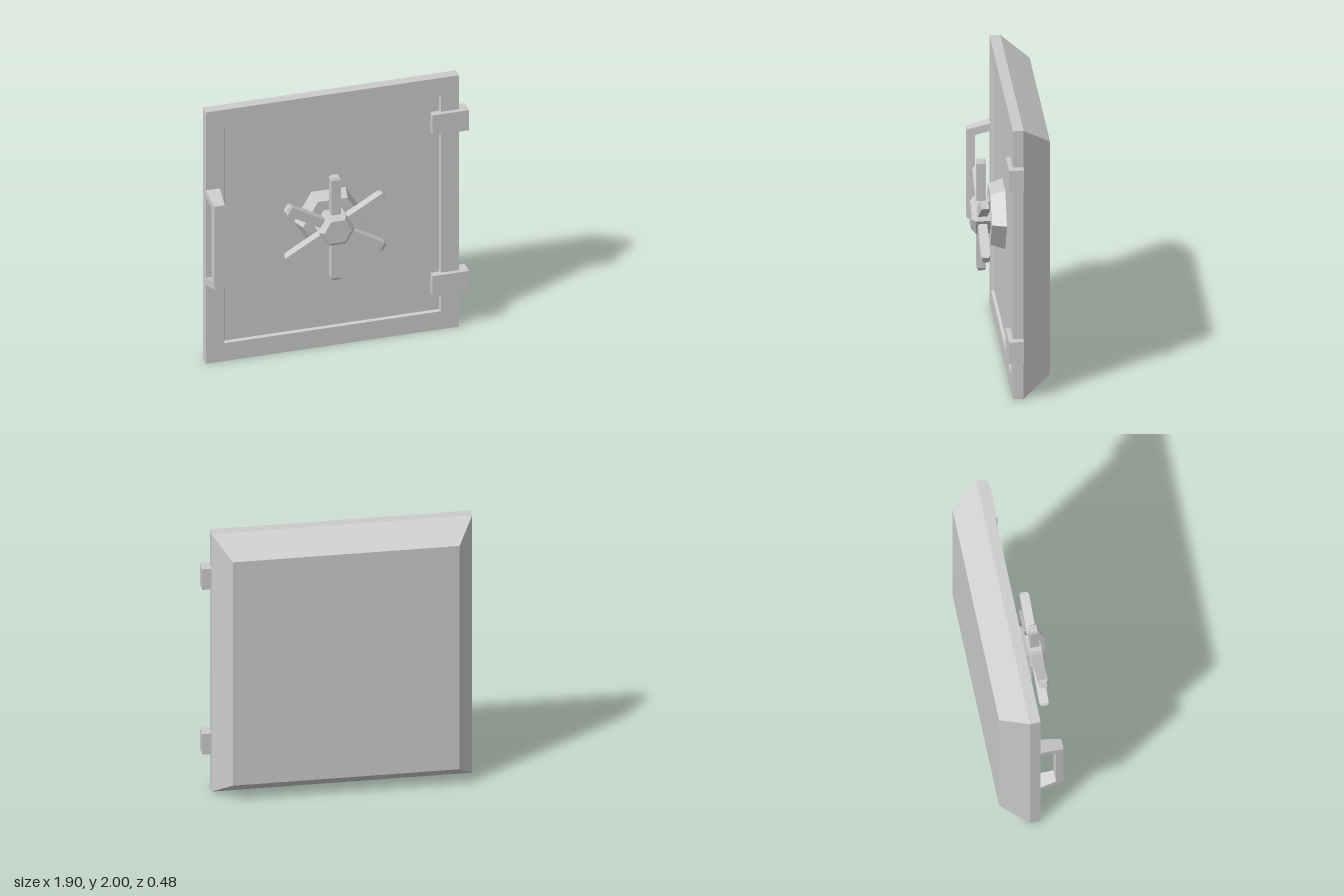
import * as THREE from 'three';

const material = new THREE.MeshStandardMaterial({ color: 0xcccccc, flatShading: true });

function add(parent, name, geometry, x = 0, y = 0, z = 0) {
  const mesh = new THREE.Mesh(geometry, material);
  mesh.name = name;
  mesh.position.set(x, y, z);
  parent.add(mesh);
  return mesh;
}

// Capped loft through rectangles [halfWidth, halfHeight, z], listed along z
function rectLoft(rings) {
  const corners = rings.map(([w, h, z]) => [[-w, -h, z], [w, -h, z], [w, h, z], [-w, h, z]]);
  const points = [];
  const quad = (a, b, c, d) => points.push(...a, ...b, ...c, ...a, ...c, ...d);
  const first = corners[0];
  quad(first[3], first[2], first[1], first[0]);
  for (let r = 0; r < corners.length - 1; r++) {
    const a = corners[r], b = corners[r + 1];
    for (let i = 0; i < 4; i++) {
      const j = (i + 1) % 4;
      quad(a[i], a[j], b[j], b[i]);
    }
  }
  quad(...corners[corners.length - 1]);
  const geometry = new THREE.BufferGeometry();
  geometry.setAttribute('position', new THREE.Float32BufferAttribute(points, 3));
  geometry.computeVertexNormals();
  return geometry;
}

// Six-sided prism along z, with points to the left and right
function hexPrism(backRadius, frontRadius, z0, z1) {
  return new THREE.CylinderGeometry(frontRadius, backRadius, z1 - z0, 6)
    .rotateY(Math.PI / 6).rotateX(Math.PI / 2).translate(0, 0, (z0 + z1) / 2);
}

// Bracket outline in the side plane, narrowing in width towards the grip
function handleGeometry() {
  const outline = [
    [0.02, 0.378], [0.195, 0.33], [0.195, -0.33], [0.02, -0.378],
    [0.02, -0.323], [0.14, -0.288], [0.14, 0.288], [0.02, 0.323],
  ];
  const shape = new THREE.Shape(outline.map(([z, y]) => new THREE.Vector2(z, y)));
  const geometry = new THREE.ExtrudeGeometry(shape, { depth: 2, bevelEnabled: false })
    .translate(0, 0, -1).rotateY(-Math.PI / 2);
  const p = geometry.attributes.position;
  for (let i = 0; i < p.count; i++) {
    p.setX(i, p.getX(i) * THREE.MathUtils.mapLinear(p.getZ(i), 0.03, 0.195, 0.052, 0.038));
  }
  geometry.computeVertexNormals();
  return geometry;
}

export function createModel() {
  const model = new THREE.Group();
  model.name = 'vaultDoor';

  // Door slab: tapered back, straight rim, recessed front panel
  add(model, 'door', rectLoft([
    [0.7975, 0.8675, -0.24], [0.9175, 1, -0.045], [0.9175, 1, 0.03],
    [0.7875, 0.8575, 0.03], [0.778, 0.848, 0.01],
  ]), -0.0325, 1, 0);

  // Hinge blocks
  for (const [name, y] of [['lowerHinge', 0.37], ['upperHinge', 1.65]]) {
    add(model, name, new THREE.BoxGeometry(0.265, 0.16, 0.105), 0.8175, y, 0.0105);
  }

  add(model, 'handle', handleGeometry(), -0.901, 1.005, 0);

  // Spoked wheel
  const wheel = new THREE.Group();
  wheel.name = 'wheel';
  wheel.position.set(-0.055, 1.017, 0);
  model.add(wheel);
  add(wheel, 'wheelBase', hexPrism(0.25, 0.215, 0.01, 0.112));
  add(wheel, 'hub', hexPrism(0.132, 0.132, 0.1, 0.212));
  add(wheel, 'hubCap', hexPrism(0.132, 0.1, 0.212, 0.243));
  const spoke = rectLoft([[0.034, 0.0325, 0], [0.034, 0.0325, 0.388], [0.024, 0.022, 0.408]])
    .rotateX(-Math.PI / 2);
  for (let i = 0; i < 6; i++) {
    add(wheel, 'spoke', spoke, 0, 0, 0.168).rotation.z = (i * Math.PI) / 3;
  }
  return model;
}
